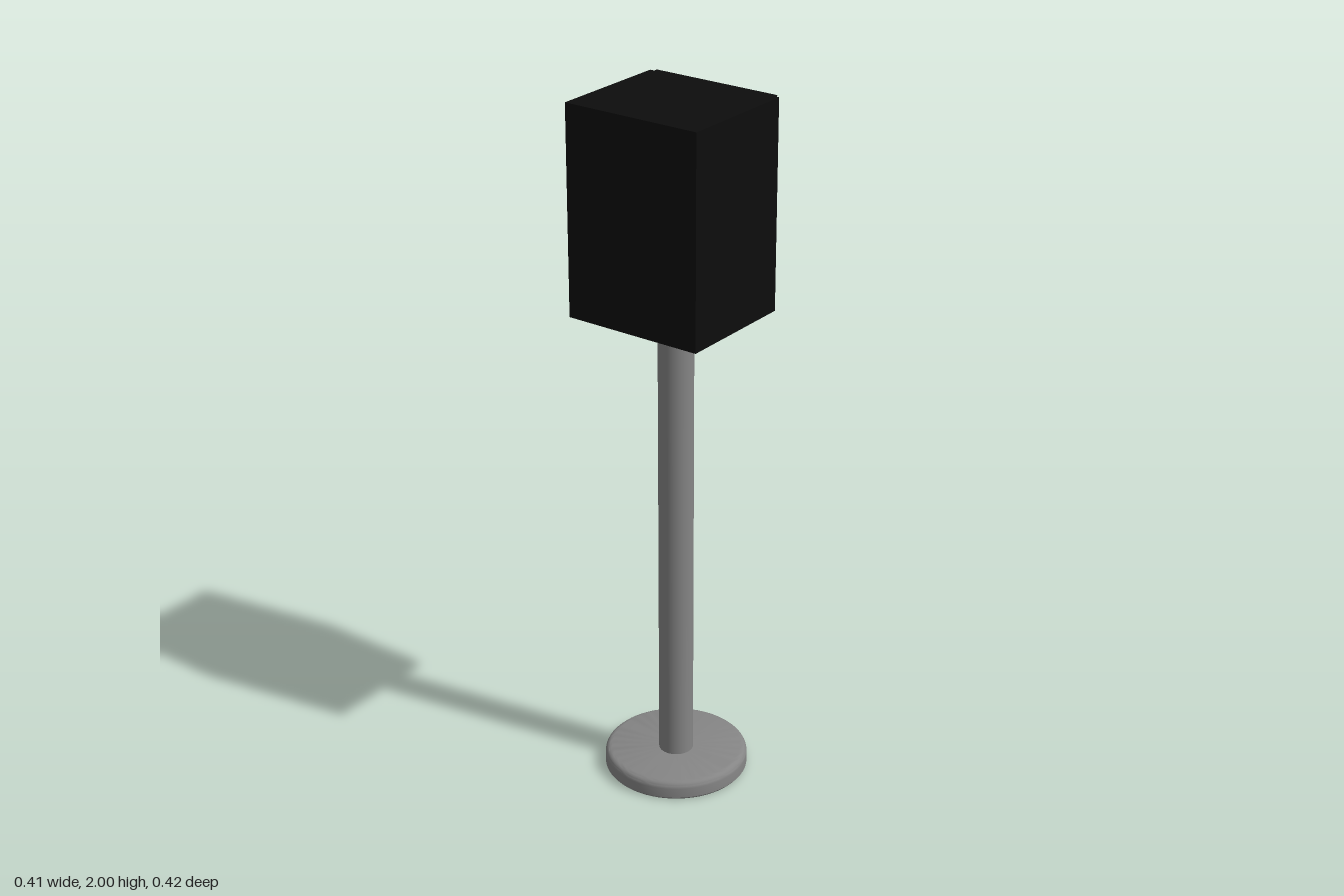
import * as THREE from 'three';
import { toCreasedNormals } from 'three/addons/utils/BufferGeometryUtils.js';

const material = (name, color, extra = {}) => {
  const m = new THREE.MeshStandardMaterial({ color, ...extra });
  m.name = name;
  return m;
};

// Drivers: centre (z, y), rim radius, dome radius, recess depth
const drivers = [
  { name: 'woofer', z: 0.0, y: 1.625, rim: 0.14, inner: 0.092, depth: 0.05 },
  { name: 'leftTweeter', z: 0.095, y: 1.885, rim: 0.062, inner: 0.034, depth: 0.04 },
  { name: 'rightTweeter', z: -0.078, y: 1.885, rim: 0.062, inner: 0.034, depth: 0.04 },
];

// Slab facing +x with a hole for every driver
function slab(x0, x1, z0, z1, y0, y1) {
  const s = new THREE.Shape();
  s.moveTo(-z1, y0).lineTo(-z0, y0).lineTo(-z0, y1).lineTo(-z1, y1).closePath();
  for (const d of drivers) {
    s.holes.push(new THREE.Path().absarc(-d.z, d.y, d.rim, 0, Math.PI * 2, true));
  }
  const g = new THREE.ExtrudeGeometry(s, { depth: x1 - x0, bevelEnabled: false, curveSegments: 32 });
  return g.rotateY(Math.PI / 2).translate(x0, 0, 0);
}

export function createModel() {
  const model = new THREE.Group();
  model.name = 'speakerOnStand';
  const black = material('cabinetBlack', 0x0d0d0d);
  const grey = material('standGrey', 0x858585);
  const white = material('coneWhite', 0xe8e8e8, { side: THREE.DoubleSide });
  const dark = material('domeGrey', 0x666666);

  const add = (name, geometry, mat, parent = model) => {
    const mesh = new THREE.Mesh(geometry, mat);
    mesh.name = name;
    parent.add(mesh);
    return mesh;
  };

  // Round foot with a softened upper edge
  const profile = [[0, 0], [0.2, 0], [0.205, 0.006], [0.205, 0.035]];
  for (let i = 1; i <= 5; i++) {
    const a = (i / 5) * Math.PI / 2;
    profile.push([0.185 + 0.02 * Math.cos(a), 0.035 + 0.02 * Math.sin(a)]);
  }
  profile.push([0, 0.055]);
  const foot = new THREE.LatheGeometry(profile.map(p => new THREE.Vector2(...p)), 64);
  add('base', toCreasedNormals(foot, 0.6), grey).position.z = -0.004;

  // Pole
  add('pole', new THREE.CylinderGeometry(0.049, 0.049, 1.37, 40), grey).position.set(-0.006, 0.735, 0);

  // Cabinet: solid rear, hollowed front and a raised baffle
  const cabinet = new THREE.Group();
  cabinet.name = 'cabinet';
  model.add(cabinet);
  add('cabinetRear', new THREE.BoxGeometry(0.297, 0.585, 0.41), black, cabinet).position.set(-0.0565, 1.7075, 0.004);
  add('cabinetFront', slab(0.092, 0.152, -0.201, 0.209, 1.415, 2), black, cabinet);
  add('baffle', slab(0.152, 0.164, -0.188, 0.195, 1.43, 2), black, cabinet);

  // Recessed cones with flat centres
  for (const d of drivers) {
    const driver = new THREE.Group();
    driver.name = d.name;
    driver.position.set(0.164, d.y, d.z);
    model.add(driver);
    const cone = new THREE.LatheGeometry(
      [new THREE.Vector2(d.rim, 0), new THREE.Vector2(d.inner, -d.depth)], 48);
    add('cone', cone.rotateZ(-Math.PI / 2), white, driver);
    const disc = add('coneCentre', new THREE.CircleGeometry(d.inner, 48).rotateY(Math.PI / 2), dark, driver);
    disc.position.x = -d.depth;
  }
  return model;
}
